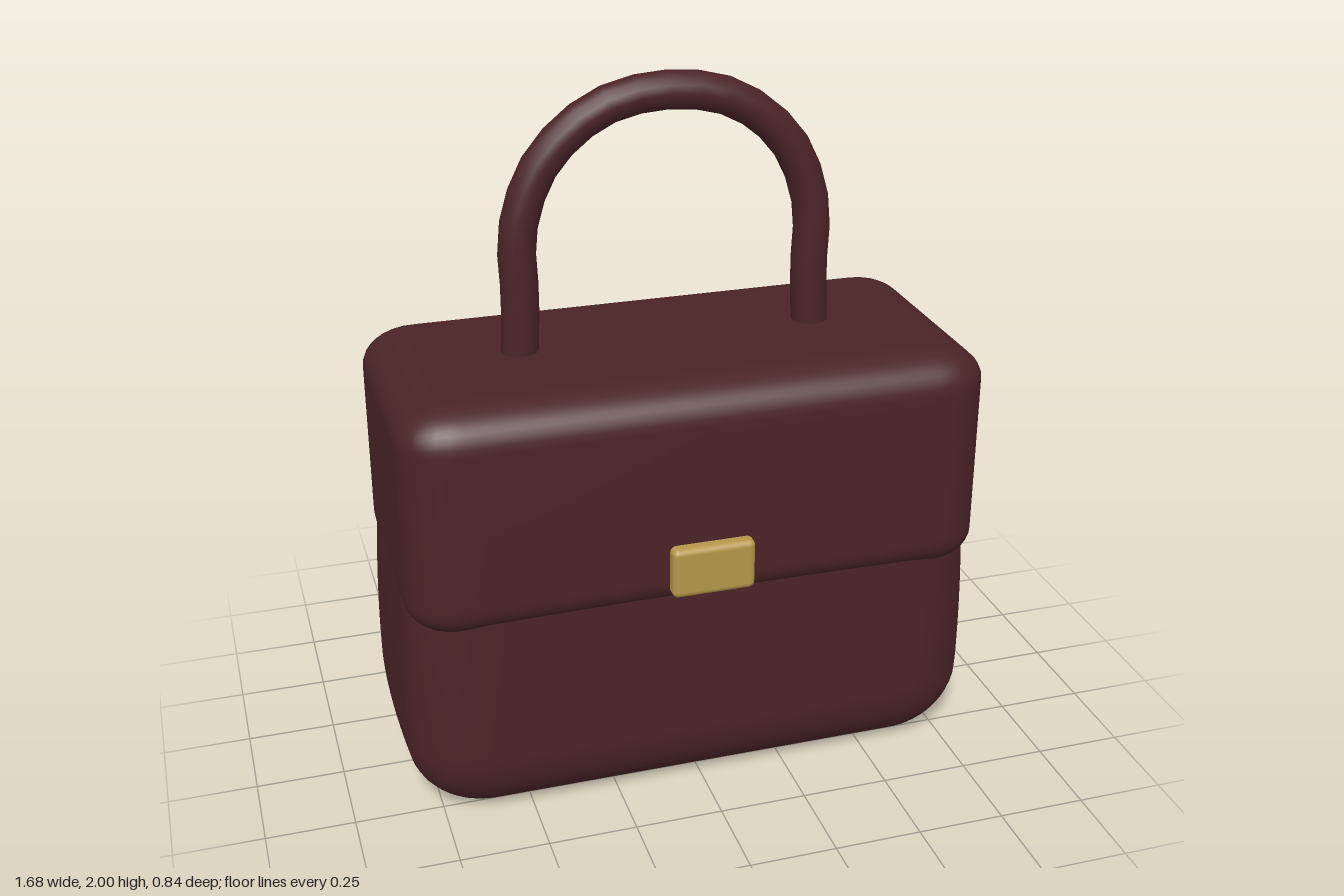
import * as THREE from 'three';
import { mergeVertices } from 'three/addons/utils/BufferGeometryUtils.js';
import { RoundedBoxGeometry } from 'three/addons/geometries/RoundedBoxGeometry.js';

// Box with elliptical rounded edges, then reshaped by a rule on each vertex
function softBox(half, radius, reshape) {
  const g = new THREE.BoxGeometry(half.x * 2, half.y * 2, half.z * 2, 40, 32, 28);
  g.deleteAttribute('uv');
  g.deleteAttribute('normal');
  const geo = mergeVertices(g, 1e-4);
  const pos = geo.attributes.position;
  const p = new THREE.Vector3(), core = new THREE.Vector3(), d = new THREE.Vector3();
  const inner = half.clone().sub(radius);
  for (let i = 0; i < pos.count; i++) {
    p.fromBufferAttribute(pos, i);
    core.copy(p).clamp(inner.clone().negate(), inner);
    d.copy(p).sub(core).divide(radius).normalize().multiply(radius);
    p.copy(core).add(d);
    reshape(p);
    pos.setXYZ(i, p.x, p.y, p.z);
  }
  geo.computeVertexNormals();
  return geo;
}

export function createModel() {
  const bag = new THREE.Group();
  bag.name = 'handbag';
  const leather = new THREE.MeshStandardMaterial({ color: 0x4b2427 });
  leather.name = 'dark red leather';
  const brass = new THREE.MeshStandardMaterial({ color: 0xb6974a });
  brass.name = 'brass';

  const add = (name, geo, mat, x, y, z) => {
    const m = new THREE.Mesh(geo, mat);
    m.name = name;
    m.position.set(x, y, z);
    bag.add(m);
  };

  // Body: widest low down, narrowing upwards, sides and back gently pillowed
  const body = softBox(new THREE.Vector3(0.84, 0.56, 0.39), new THREE.Vector3(0.22, 0.2, 0.15), (p) => {
    const rise = (p.y + 0.56 - 0.3) ** 2;
    const u = p.x / 0.84, v = p.z / 0.39;
    p.x *= 1 - 0.12 * rise - 0.02 * v * v;
    p.z *= 1 - (p.z < 0 ? 0.05 * u * u + 0.1 * rise : 0.02 * rise);
  });
  add('body', body, leather, 0, 0.56, -0.028);

  // Flap: covers the upper half, its lower edge slightly arched
  const flap = softBox(new THREE.Vector3(0.823, 0.332, 0.394), new THREE.Vector3(0.15, 0.1, 0.13), (p) => {
    const low = THREE.MathUtils.clamp(-p.y / 0.332, 0, 1);
    p.y += 0.012 * low * (1 - (p.x / 0.823) ** 2);
  });
  add('flap', flap, leather, 0, 0.923, -0.01);

  // Clasp
  add('clasp', new RoundedBoxGeometry(0.235, 0.147, 0.08, 3, 0.018), brass, 0, 0.737, 0.38);

  // Handle: upright legs joined by a round arch
  const side = [[0.425, 1.2], [0.416, 1.4], [0.416, 1.6], [0.345, 1.78], [0.19, 1.91]];
  const points = [
    ...side.map(([x, y]) => new THREE.Vector3(-x, y, 0)),
    new THREE.Vector3(0, 1.948, 0),
    ...side.reverse().map(([x, y]) => new THREE.Vector3(x, y, 0)),
  ];
  const handle = new THREE.TubeGeometry(new THREE.CatmullRomCurve3(points), 24, 0.052, 14);
  add('handle', handle, leather, 0, 0, -0.03);

  return bag;
}
